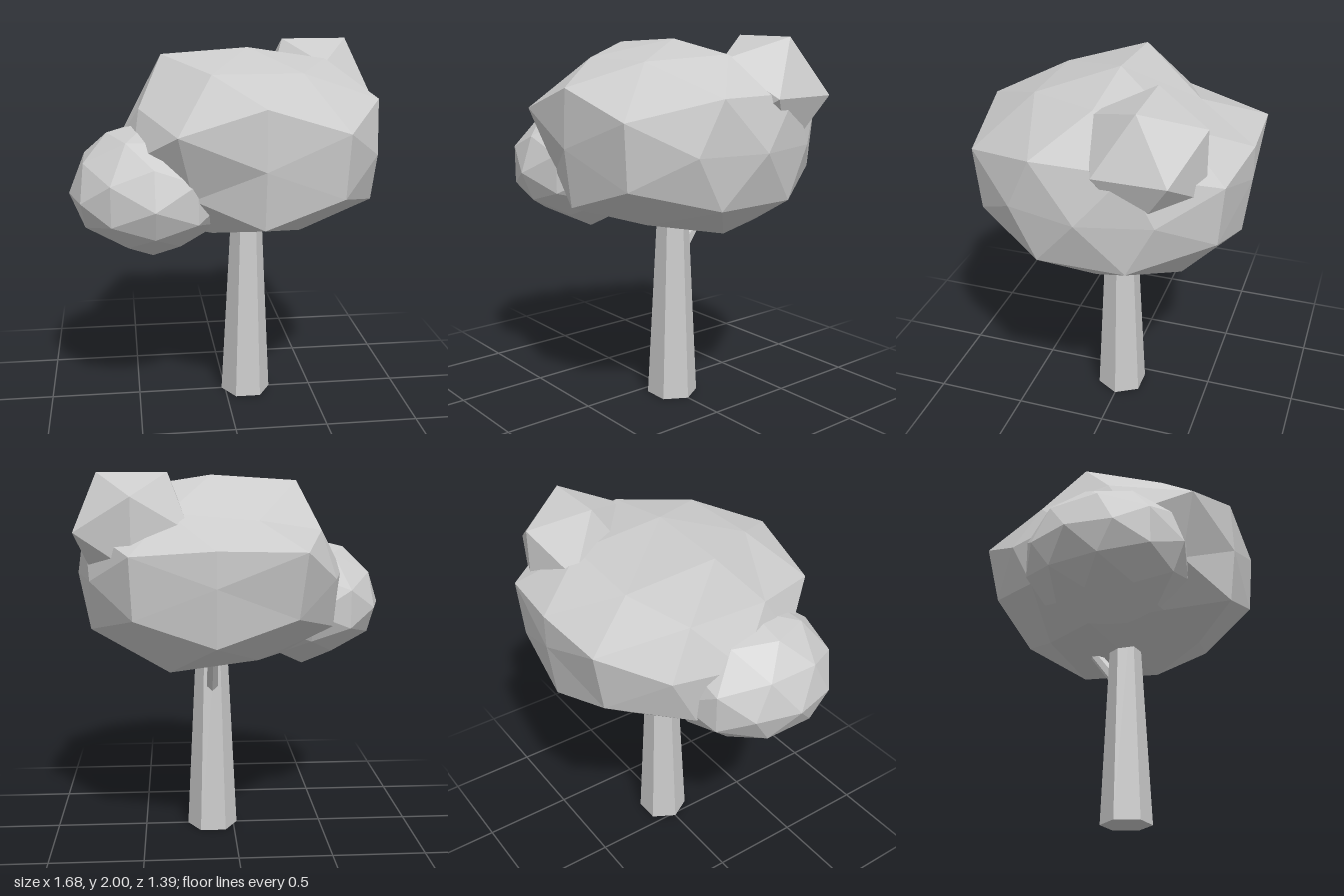
import * as THREE from 'three';

const grey = new THREE.MeshStandardMaterial({ color: 0xcccccc, flatShading: true });
grey.name = 'plain grey';

// Unit coordinates found in a once-divided icosahedron, and the bulged, flattened offsets that replace them
const UNIT = [0, 0.309, 0.5, 0.526, 0.809, 0.851, 1];
const X = [0, 0.23, 0.42, 0.42, 0.66, 0.63, 0.72];
const Y = [0, 0.165, 0.27, 0.3, 0.425, 0.455, 0.52];
const Z = [0, 0.235, 0.37, 0.365, 0.64, 0.685, 0.695];

// Uneven corners of the main crown: [corner direction, offset from the crown's middle]
const DENTS = [
  [[-0.526, 0.851, 0], [-0.46, 0.49, 0]], // raised left shoulder
  [[-0.309, 0.809, -0.5], [-0.23, 0.3, -0.36]], // hollow behind the shoulder
  [[0.309, 0.809, -0.5], [0.23, 0.34, -0.36]],
  [[0, 0.526, -0.851], [0, 0.18, -0.695]],
  [[-0.5, 0.309, -0.809], [-0.44, 0.17, -0.68]], // pointed back corner
  [[0.5, 0.309, -0.809], [0.42, 0.15, -0.64]],
  [[-0.809, 0.5, 0.309], [-0.59, 0.24, 0.22]],
  [[-0.809, 0.5, -0.309], [-0.57, 0.24, -0.22]],
  [[-0.5, -0.309, 0.809], [-0.34, -0.17, 0.53]], // drawn in above the side clump
  [[0.309, -0.809, 0.5], [0.23, -0.39, 0.36]],
  [[-0.309, -0.809, 0.5], [-0.23, -0.39, 0.36]],
  [[-0.309, -0.809, -0.5], [-0.23, -0.42, -0.36]],
  [[0.309, -0.809, -0.5], [0.23, -0.47, -0.4]],
].map((pair) => pair.map((v) => new THREE.Vector3(...v)));

const bulge = (v, table) => Math.sign(v) * table[UNIT.findIndex((u) => Math.abs(Math.abs(v) - u) < 0.01)];

function mainCrownPoint(u) {
  const dent = DENTS.find(([at]) => at.distanceTo(u) < 0.05);
  if (dent) return dent[1];
  const p = new THREE.Vector3(bulge(u.x, X), bulge(u.y, Y), bulge(u.z, Z));
  if (u.y < -0.1) p.multiply(new THREE.Vector3(0.97, 1, 0.96));
  p.y = Math.max(p.y, -0.485);
  return p;
}

// Ellipsoid with a shallower underside
function sideCrownPoint(u) {
  const height = u.y > 0 ? 0.37 : u.y < -0.95 ? 0.36 : 0.3;
  return new THREE.Vector3(u.x * 0.43, u.y * height, u.z * 0.45);
}

function foliage(place) {
  const geometry = new THREE.IcosahedronGeometry(1, 1);
  const pos = geometry.attributes.position;
  const unit = new THREE.Vector3();
  for (let i = 0; i < pos.count; i++) {
    const p = place(unit.fromBufferAttribute(pos, i));
    pos.setXYZ(i, p.x, p.y, p.z);
  }
  geometry.computeVertexNormals();
  return geometry;
}

export function createModel() {
  const tree = new THREE.Group();
  tree.name = 'tree';

  const add = (name, geometry, x, y, z) => {
    const mesh = new THREE.Mesh(geometry, grey);
    mesh.name = name;
    mesh.position.set(x, y, z);
    tree.add(mesh);
    return mesh;
  };

  // Tapered six-sided trunk running up into the crown
  add('trunk', new THREE.CylinderGeometry(0.074, 0.14, 1.3, 6, 1, false, Math.PI / 2), 0.12, 0.65, 0);

  // Short branch leaning backwards
  const from = new THREE.Vector3(0.12, 0.79, -0.03);
  const to = new THREE.Vector3(0.12, 1.14, -0.29);
  const along = to.clone().sub(from);
  const mid = from.clone().add(to).multiplyScalar(0.5);
  const branch = add('branch', new THREE.CylinderGeometry(0.028, 0.036, along.length(), 6), mid.x, mid.y, mid.z);
  branch.quaternion.setFromUnitVectors(new THREE.Vector3(0, 1, 0), along.normalize());

  // Three clumps of leaves
  add('mainCrown', foliage(mainCrownPoint), 0.12, 1.46, 0);
  add('sideCrown', foliage(sideCrownPoint), -0.41, 1.26, 0.18);
  add('topCrown', new THREE.IcosahedronGeometry(0.34, 0), 0.53, 1.71, -0.26);

  return tree;
}
